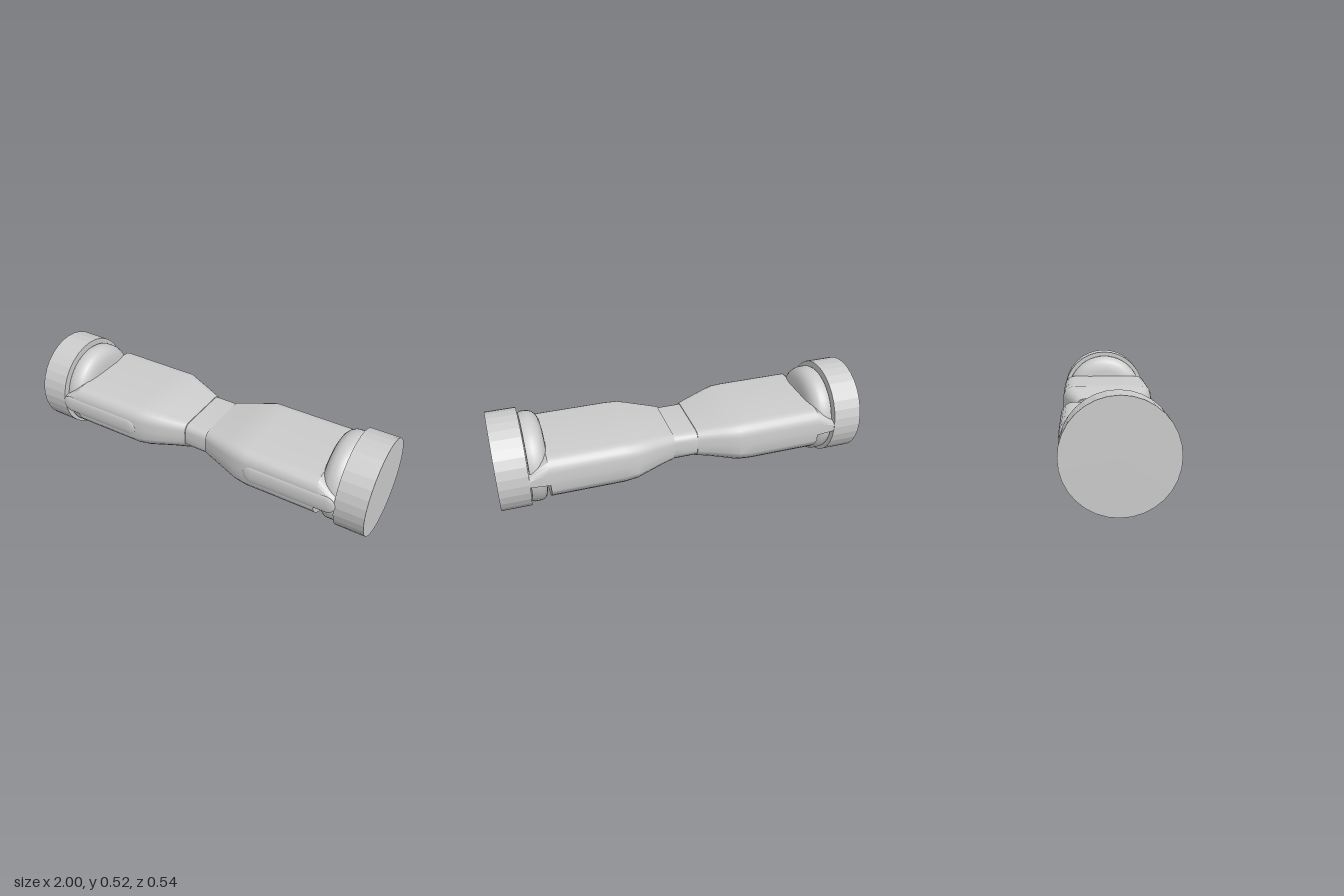
import * as THREE from 'three';
import { toCreasedNormals } from 'three/addons/utils/BufferGeometryUtils.js';

const AXLE_Y = 0.262, AXLE_Z = -0.005;

// Half outline of the body: [depth fraction, height fraction from the seam]
const UPPER = [[1, 0], [1, 0.45], [0.985, 0.62], [0.95, 0.77], [0.9, 0.89], [0.83, 0.97], [0.74, 1]];
const LOWER = [[0.55, -1], [0.66, -0.95], [0.77, -0.84], [0.88, -0.67], [0.96, -0.5], [1, -0.36]];

// Closed cross-section ring from top, bottom, front and back limits
function ring([x, top, bottom, front, back], side) {
  const seam = Math.min(0.26, (top + bottom) / 2 + 0.022);
  const point = (f, h, z) => new THREE.Vector3(side * x, seam + (h > 0 ? h * (top - seam) : h * (seam - bottom)), f * z);
  return [
    ...UPPER.map(([f, h]) => point(f, h, front)),
    ...[...UPPER].reverse().map(([f, h]) => point(f, h, back)),
    ...[...LOWER].reverse().map(([f, h]) => point(f, h, back)),
    ...LOWER.map(([f, h]) => point(f, h, front)),
  ];
}

// Capped loft through the sections; side -1 mirrors it in x
function loft(sections, side) {
  const rings = sections.map((s) => ring(s, side));
  const n = rings[0].length, last = rings.length - 1, pos = [];
  const tri = (a, b, c) => {
    for (const p of side > 0 ? [a, b, c] : [a, c, b]) pos.push(p.x, p.y, p.z);
  };
  const middle = (r) => r.reduce((sum, p) => sum.add(p), new THREE.Vector3()).divideScalar(n);
  const startMid = middle(rings[0]), endMid = middle(rings[last]);
  for (let j = 0; j < n; j++) {
    const k = (j + 1) % n;
    for (let i = 0; i < last; i++) {
      tri(rings[i][j], rings[i + 1][j], rings[i][k]);
      tri(rings[i][k], rings[i + 1][j], rings[i + 1][k]);
    }
    tri(startMid, rings[0][j], rings[0][k]);
    tri(endMid, rings[last][k], rings[last][j]);
  }
  const geometry = new THREE.BufferGeometry();
  geometry.setAttribute('position', new THREE.Float32BufferAttribute(pos, 3));
  return toCreasedNormals(geometry, 0.5);
}

// x, top, bottom, front z, back z
const BODY = [
  [0.065, 0.335, 0.15, 0.175, -0.19],
  [0.13, 0.347, 0.143, 0.2, -0.214],
  [0.2, 0.36, 0.13, 0.225, -0.24],
  [0.28, 0.375, 0.112, 0.252, -0.268],
  [0.35, 0.375, 0.1, 0.26, -0.268],
  [0.74, 0.375, 0.1, 0.26, -0.268],
  [0.742, 0.375, 0.2, 0.26, -0.268],
  [0.845, 0.3, 0.215, 0.258, -0.264],
];
const NECK = [[-0.07, 0.33, 0.152, 0.168, -0.186], [0.07, 0.33, 0.152, 0.168, -0.186]];

// Rounded wheel covers: [radius, distance from the centre]
const UPPER_COVER = [[0, 0.73], [0.15, 0.73], [0.185, 0.735], [0.21, 0.745], [0.228, 0.762],
  [0.237, 0.782], [0.239, 0.8], [0.239, 0.825], [0.233, 0.836], [0.2, 0.837], [0.2, 0.85]];
const LOWER_COVER = [[0, 0.752], [0.205, 0.752], [0.225, 0.757], [0.238, 0.77], [0.243, 0.785],
  [0.243, 0.825], [0.237, 0.836], [0.2, 0.837], [0.2, 0.85]];

export function createModel() {
  const model = new THREE.Group();
  const smooth = new THREE.MeshStandardMaterial({ color: 0xcccccc });
  const flat = new THREE.MeshStandardMaterial({ color: 0xcccccc, flatShading: true });
  const shell = new THREE.MeshStandardMaterial({ color: 0xcccccc, side: THREE.DoubleSide });

  const add = (name, geometry, material, x = 0, y = 0, z = 0) => {
    const mesh = new THREE.Mesh(geometry, material);
    mesh.name = name;
    mesh.position.set(x, y, z);
    model.add(mesh);
    return mesh;
  };

  // Pivot joining the two foot decks
  add('centrePivot', loft(NECK, 1), smooth);

  for (const side of [1, -1]) {
    const label = side > 0 ? 'left' : 'right';

    add(label + 'Deck', loft(BODY, side), smooth);

    // Wheel
    const wheel = new THREE.CylinderGeometry(0.262, 0.262, 0.158, 32).rotateZ(Math.PI / 2).rotateX(Math.PI / 2);
    add(label + 'Wheel', wheel, flat, side * 0.921, AXLE_Y, AXLE_Z);

    // Half-round covers above and below the axle
    const cover = (name, profile, upper) => {
      const start = upper === side > 0 ? Math.PI : 0;
      const points = profile.map(([r, d]) => new THREE.Vector2(r, d));
      const geometry = new THREE.LatheGeometry(points, 24, start, Math.PI).rotateZ(-side * Math.PI / 2);
      add(name, toCreasedNormals(geometry, 0.7), shell, 0, 0.26, AXLE_Z);
    };
    cover(label + 'UpperFender', UPPER_COVER, true);
    cover(label + 'LowerFender', LOWER_COVER, false);

    // Raised light strip along the front
    const strip = new THREE.CapsuleGeometry(0.05, 0.41, 6, 16).rotateZ(Math.PI / 2);
    add(label + 'LightStrip', strip, smooth, side * 0.595, 0.26, 0.256).scale.z = 0.26;
  }
  return model;
}
